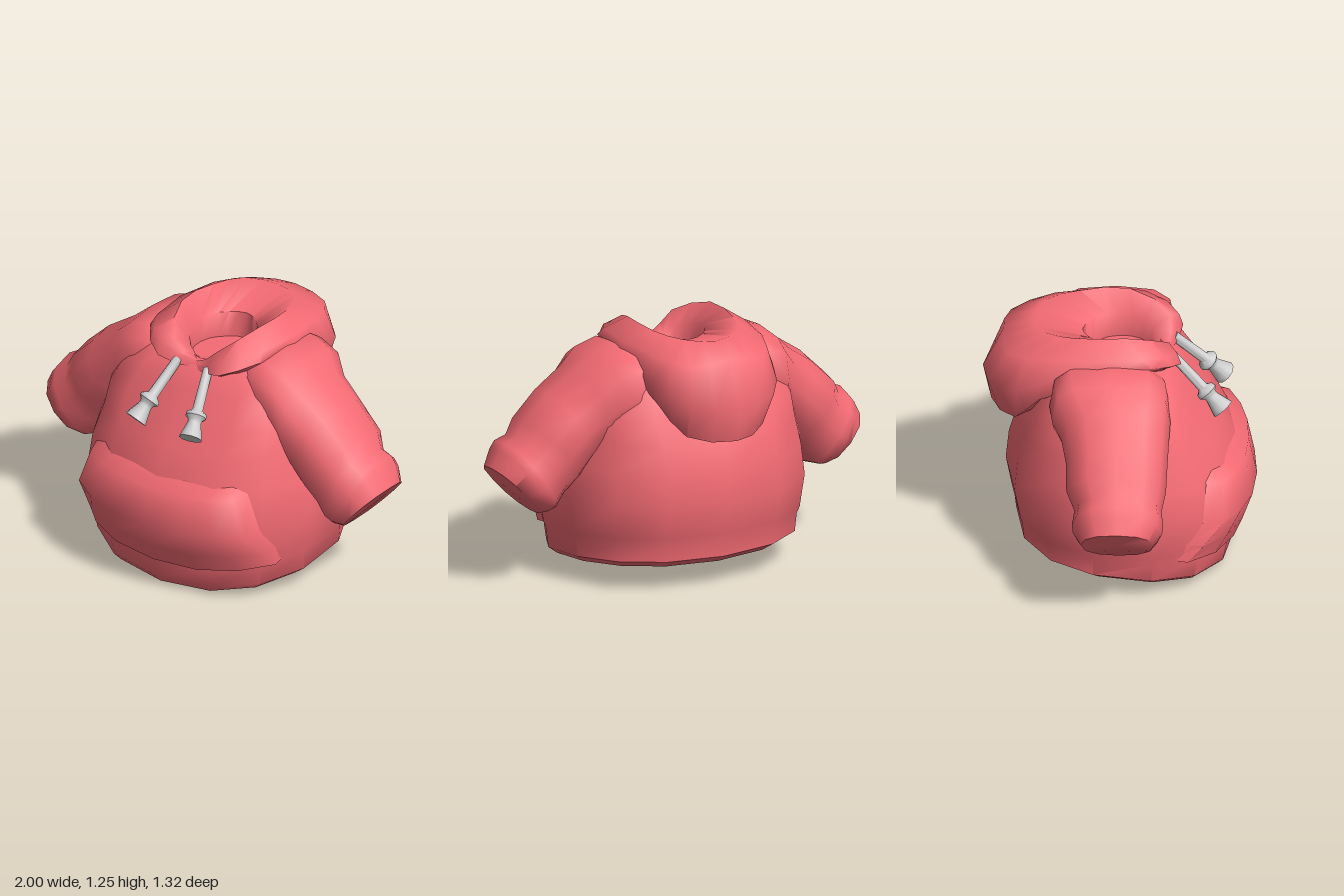
import * as THREE from 'three';
import { toCreasedNormals } from 'three/addons/utils/BufferGeometryUtils.js';

const red = new THREE.MeshStandardMaterial({ color: 0xf56b74, side: THREE.DoubleSide });
const grey = new THREE.MeshStandardMaterial({ color: 0xcccccc });
const V = (x, y, z) => new THREE.Vector3(x, y, z);

// Signed power: below 1 it makes a round section boxier.
const soften = (v, e) => Math.sign(v) * Math.abs(v) ** e;

// Skin a stack of equally long rows of points; closed rows wrap around.
function loft(name, rows, closed = true, crease = 0.85) {
  const pos = [], n = rows[0].length;
  const tri = (a, b, c) => {
    if (a.distanceTo(b) > 1e-5 && b.distanceTo(c) > 1e-5 && c.distanceTo(a) > 1e-5)
      for (const p of [a, b, c]) pos.push(p.x, p.y, p.z);
  };
  for (let r = 0; r < rows.length - 1; r++) {
    for (let c = 0; c < (closed ? n : n - 1); c++) {
      const d = (c + 1) % n;
      tri(rows[r][c], rows[r][d], rows[r + 1][d]);
      tri(rows[r][c], rows[r + 1][d], rows[r + 1][c]);
    }
  }
  let g = new THREE.BufferGeometry();
  g.setAttribute('position', new THREE.Float32BufferAttribute(pos, 3));
  g = toCreasedNormals(g, crease);
  const mesh = new THREE.Mesh(g, red);
  mesh.name = name;
  return mesh;
}

// A row collapsed to its middle closes an end.
function cap(row) {
  const mid = V(0, 0, 0);
  row.forEach(p => mid.add(p));
  mid.divideScalar(row.length);
  return row.map(() => mid.clone());
}

// Point on a tilted, slightly arched torso ring; angle 0 is the front.
function torsoPoint([yFront, yBack, zFront, zBack, rx, e = 0.88], a, s = 1) {
  const k = soften(Math.cos(a), e), w = soften(Math.sin(a), e);
  return V(
    s * rx * w,
    (yFront + yBack) / 2 + k * (yFront - yBack) / 2 + 0.03 * w * w,
    (zFront + zBack) / 2 + s * k * (zFront - zBack) / 2);
}

function makeTorso() {
  // yFront, yBack, zFront, zBack, half width, roundness
  const rings = [
    [0, 0.11, 0.52, -0.44, 0.56],
    [0.035, 0.15, 0.55, -0.5, 0.61],
    [0.14, 0.24, 0.57, -0.51, 0.62],
    [0.18, 0.27, 0.575, -0.52, 0.635],
    [0.38, 0.43, 0.6, -0.55, 0.655],
    [0.56, 0.58, 0.57, -0.535, 0.635],
    [0.72, 0.72, 0.48, -0.495, 0.585, 0.8],
    [0.83, 0.83, 0.405, -0.43, 0.555, 0.66],
    [0.96, 0.95, 0.32, -0.375, 0.49, 0.62],
    [1.06, 1.07, 0.255, -0.3, 0.4, 0.7],
    [1.08, 1.12, 0.2, -0.26, 0.27],
  ];
  const n = 14;
  const rows = rings.map(r => Array.from({ length: n }, (_, i) => torsoPoint(r, i / n * Math.PI * 2)));
  return loft('torso', [cap(rows[0]), ...rows]);
}

function makePocket() {
  // torso ring, then half angle of the panel
  const rows = [
    [[0.15, 0.245, 0.53, -0.48, 0.58], 1.03],
    [[0.145, 0.24, 0.582, -0.51, 0.638], 1.03],
    [[0.24, 0.32, 0.62, -0.53, 0.665], 0.92],
    [[0.36, 0.42, 0.66, -0.55, 0.69], 0.76],
    [[0.555, 0.57, 0.62, -0.53, 0.66], 0.65],
    [[0.615, 0.62, 0.5, -0.47, 0.57], 0.63],
  ].map(([ring, a]) => {
    const row = [torsoPoint(ring, -a - 0.16, 0.92)];
    for (let i = -3; i <= 3; i++) row.push(torsoPoint(ring, a * i / 3));
    row.push(torsoPoint(ring, a + 0.16, 0.92));
    return row;
  });
  return loft('frontPocket', rows, false, 1.1);
}

function makeSleeve(side) {
  // top x, top y, bottom x, bottom y, z centre, z half width, roundness
  const rings = [
    [0.24, 1.13, 0.3, 0.74, -0.04, 0.26, 0.6],
    [0.34, 1.155, 0.4, 0.74, -0.04, 0.29, 0.6],
    [0.46, 1.12, 0.47, 0.72, -0.03, 0.285, 0.65],
    [0.55, 1.045, 0.48, 0.66, -0.01, 0.26, 0.8],
    [0.7, 0.945, 0.52, 0.61, 0, 0.245, 0.85],
    [0.83, 0.82, 0.58, 0.53, 0, 0.24, 0.85],
    [0.87, 0.745, 0.65, 0.455, 0.01, 0.21, 0.85],
    [0.93, 0.725, 0.7, 0.385, 0.01, 0.22, 0.85],
    [0.955, 0.69, 0.74, 0.37, 0.01, 0.215, 0.85],
    [1.0, 0.61, 0.785, 0.365, 0.01, 0.175, 0.85],
  ];
  const n = 12;
  const rows = rings.map(([tx, ty, bx, by, zc, hz, e]) => Array.from({ length: n }, (_, i) => {
    const a = i / n * Math.PI * 2, k = soften(Math.cos(a), e), s = soften(Math.sin(a), e);
    return V(
      side * ((tx + bx) / 2 + k * (tx - bx) / 2),
      (ty + by) / 2 + k * (ty - by) / 2,
      zc + side * s * hz);
  }));
  return loft(side > 0 ? 'leftSleeve' : 'rightSleeve', [...rows, cap(rows.at(-1))], true, 1.1);
}

function makeHood() {
  // half loops from front middle to back middle: underside, over the rim, into the neck
  const loops = [
    [[0, 1, .15], [.15, 1, .2], [.27, 1.06, .1], [.27, 1, -.3], [.17, .81, -.41], [0, .79, -.44]],
    [[0, 1.02, .2], [.16, 1.05, .25], [.31, 1.11, .14], [.315, .95, -.38], [.21, .785, -.5], [0, .765, -.62]],
    [[0, 1.045, .25], [.18, 1.08, .3], [.33, 1.14, .16], [.335, 1.04, -.38], [.23, .95, -.575], [0, .95, -.66]],
    [[0, 1.07, .24], [.18, 1.14, .28], [.32, 1.18, .12], [.31, 1.17, -.32], [.2, 1.14, -.53], [0, 1.16, -.56]],
    [[0, 1.075, .23], [.13, 1.17, .24], [.23, 1.25, .04], [.22, 1.24, -.2], [.15, 1.23, -.36], [0, 1.215, -.42]],
    [[0, 1.06, .18], [.09, 1.11, .16], [.15, 1.15, .06], [.14, 1.16, -.06], [.08, 1.16, -.14], [0, 1.16, -.18]],
    [[0, 1.03, .15], [.09, 1.03, .14], [.15, 1.03, .05], [.14, 1.03, -.06], [.08, 1.03, -.13], [0, 1.03, -.17]],
  ];
  const rows = loops.map(half => {
    const curve = new THREE.CatmullRomCurve3([
      ...half.map(p => V(...p)),
      ...half.slice(1, -1).reverse().map(([x, y, z]) => V(-x, y, z)),
    ], true);
    return Array.from({ length: 20 }, (_, i) => curve.getPoint(i / 20));
  });
  return loft('hood', [...rows, cap(rows.at(-1))], true, 1.2);
}

function makeDrawstring(side) {
  // cord, knot and flared tip in one turned profile
  const profile = [
    [0, 0], [0.058, 0], [0.052, 0.02], [0.034, 0.08], [0.036, 0.095], [0.053, 0.112],
    [0.05, 0.128], [0.027, 0.145], [0.024, 0.36], [0, 0.36],
  ].map(p => new THREE.Vector2(...p));
  const g = toCreasedNormals(new THREE.LatheGeometry(profile, 10), 0.9);
  const cord = new THREE.Mesh(g, grey);
  const tip = V(side * 0.165, 0.82, 0.5), top = V(side * 0.09, 1.07, 0.26);
  cord.position.copy(tip);
  cord.quaternion.setFromUnitVectors(V(0, 1, 0), top.sub(tip).normalize());
  cord.name = side > 0 ? 'leftDrawstring' : 'rightDrawstring';
  return cord;
}

export function createModel() {
  const model = new THREE.Group();
  model.name = 'hoodedSweater';
  model.add(makeTorso(), makePocket(), makeHood());
  for (const side of [1, -1]) model.add(makeSleeve(side), makeDrawstring(side));
  return model;
}
